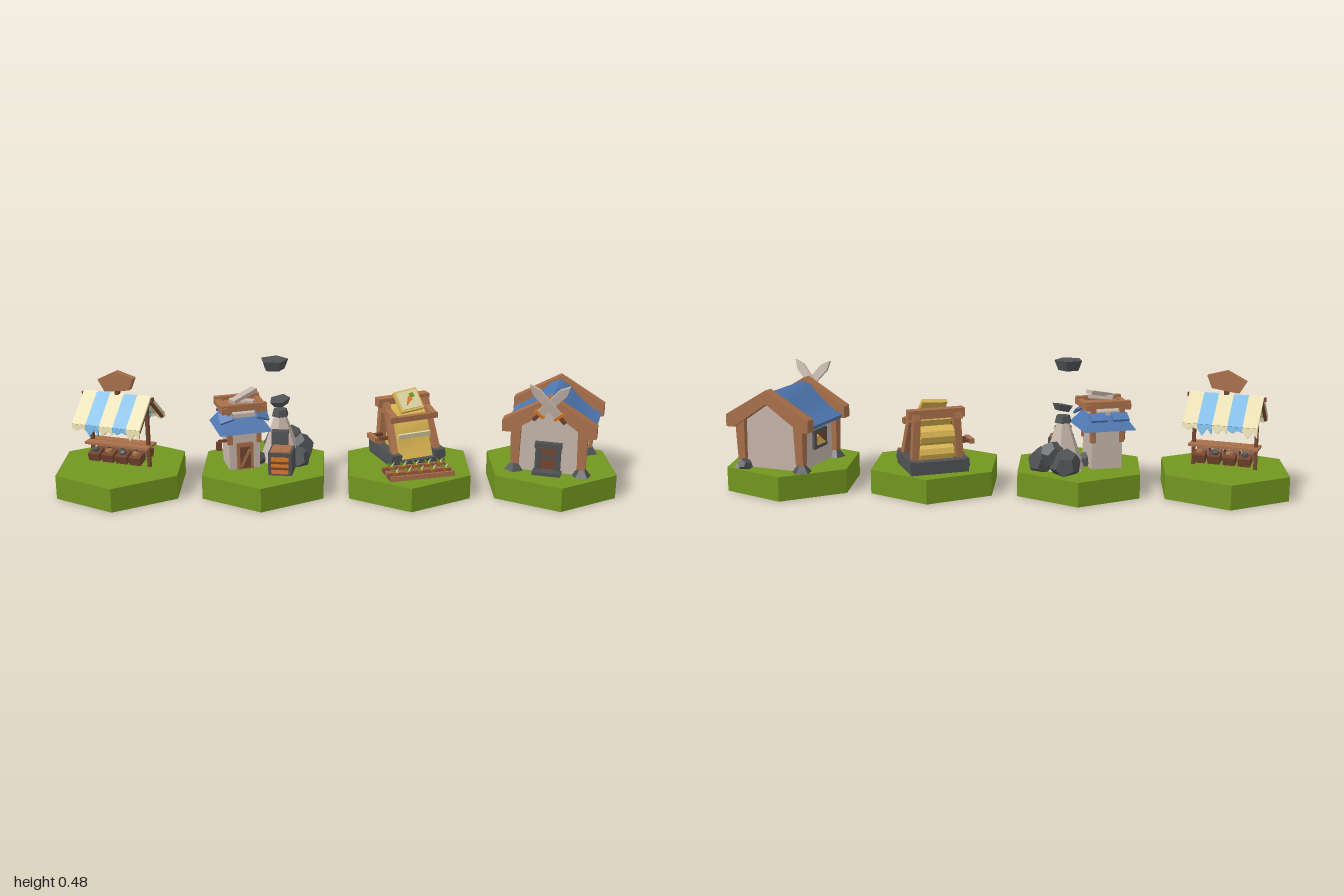
import * as THREE from 'three';
import { toCreasedNormals } from 'three/addons/utils/BufferGeometryUtils.js';

const mat = (name, color) => {
  const m = new THREE.MeshStandardMaterial({ color });
  m.name = name;
  return m;
};

export function createModel() {
  const M = {
    grass: mat('grass green', 0x72961f), wood: mat('wood', 0xa9704a), dark: mat('dark wood', 0x74452f),
    blue: mat('roof blue', 0x4f78b2), wall: mat('plaster', 0xc5b5aa), stone: mat('stone', 0x4f5153),
    cream: mat('cream cloth', 0xddd3a4), sky: mat('sky blue cloth', 0x68aedb),
    straw: mat('straw yellow', 0xdab552), orange: mat('orange', 0xdd7a22),
  };
  const root = new THREE.Group();
  root.name = 'villageTiles';

  // Helpers
  const add = (p, name, geo, m, pos = [0, 0, 0], rot = [0, 0, 0]) => {
    const mesh = new THREE.Mesh(toCreasedNormals(geo, 0.6), m);
    mesh.name = name;
    mesh.position.set(...pos);
    mesh.rotation.set(...rot);
    p.add(mesh);
    return mesh;
  };
  const box = (p, name, m, size, pos, rot) => add(p, name, new THREE.BoxGeometry(...size), m, pos, rot);
  const beam = (p, name, m, a, b, w, d = w) => {
    const A = new THREE.Vector3(...a), B = new THREE.Vector3(...b), dir = B.clone().sub(A);
    const mesh = box(p, name, m, [w, dir.length(), d], A.clone().add(B).multiplyScalar(0.5).toArray());
    mesh.quaternion.setFromUnitVectors(new THREE.Vector3(0, 1, 0), dir.normalize());
    return mesh;
  };
  const plate = (pts, depth) => {
    const g = new THREE.ExtrudeGeometry(new THREE.Shape(pts.map(q => new THREE.Vector2(...q))), { depth, bevelEnabled: false });
    return g.translate(0, 0, -depth / 2);
  };
  const rock = (p, name, pos, size, rot = [0.3, 0.5, 0.2], m = M.stone) => {
    add(p, name, new THREE.DodecahedronGeometry(1), m, pos, rot).scale.set(...size);
  };
  const group = (name, x, z, turn) => {
    const g = new THREE.Group();
    g.name = name;
    g.position.set(x, 0, z);
    g.rotation.y = turn;
    root.add(g);
    return g;
  };

  // Hexagonal ground tiles
  const TX = [-0.783, -0.262, 0.262, 0.783];
  for (const x of TX) add(root, 'groundTile', new THREE.CylinderGeometry(0.25, 0.25, 0.088, 6), M.grass, [x, 0.044, 0]);

  // Market stall
  const stall = group('marketStall', -0.783, 0, -0.31);
  beam(stall, 'ridgeBeam', M.dark, [-0.14, 0.345, 0], [0.14, 0.345, 0], 0.014);
  for (const s of [-1, 1]) {
    beam(stall, 'stallPost', M.dark, [s * 0.112, 0.088, 0], [s * 0.112, 0.345, 0], 0.012);
    for (const t of [-1, 1]) beam(stall, 'awningRafter', M.dark, [s * 0.125, 0.34, 0], [s * 0.125, 0.25, t * 0.095], 0.009);
    box(stall, 'counterBoard', M.wood, [0.25, 0.009, 0.035], [0, 0.167, s * 0.02]);
    for (let i = 0; i < 4; i++) {
      const x = -0.081 + i * 0.054;
      box(stall, 'crate', M.dark, [0.044, 0.03, 0.045], [x, 0.128, s * 0.035], [s * 0.25, 0, 0]);
      rock(stall, 'produce', [x, 0.147, s * 0.038], [0.015, 0.011, 0.015], [0, i, 0], i % 2 ? M.wood : M.stone);
    }
    // Striped awning with ragged lower edge
    const side = new THREE.Group();
    side.name = 'awningSide';
    side.rotation.y = s > 0 ? 0 : Math.PI;
    stall.add(side);
    for (let i = 0; i < 5; i++) {
      const m = i % 2 ? M.sky : M.cream, w = 0.0265, x = -0.106 + i * 0.053;
      add(side, 'awningStripe', plate([[-w, 0], [-w, -0.137], [w, -0.137], [w, 0]], 0.008), m, [x, 0.353, 0.002], [-0.82, 0, 0]);
      const drop = 0.022 + 0.008 * ((i * 2) % 3);
      add(side, 'awningValance', plate([[-w, 0.004], [-w, -0.012], [-0.008, -drop], [0.01, -0.012], [w, -drop + 0.004], [w, 0.004]], 0.006), m, [x, 0.26, 0.101], [-0.25, 0, 0]);
    }
  }
  add(stall, 'roofSign', plate([[-0.07, 0.405], [0, 0.44], [0.07, 0.42], [0.052, 0.375], [-0.045, 0.362]], 0.024), M.wood);
  box(stall, 'signPeg', M.dark, [0.016, 0.05, 0.016], [0, 0.36, 0]);

  // Smithy tower
  const tower = group('smithyTower', -0.345, 0.0, 0.3);
  box(tower, 'towerWalls', M.wall, [0.112, 0.215, 0.112], [0, 0.19, 0]);
  add(tower, 'skirtRoof', new THREE.CylinderGeometry(0.085, 0.135, 0.05, 4), M.blue, [0, 0.258, 0], [0, Math.PI / 4, 0]);
  box(tower, 'door', M.wood, [0.06, 0.1, 0.009], [0, 0.139, 0.059]);
  box(tower, 'doorPanel', M.dark, [0.038, 0.08, 0.008], [0, 0.134, 0.063]);
  beam(tower, 'doorBrace', M.wood, [-0.016, 0.1, 0.068], [0.016, 0.165, 0.068], 0.009, 0.006);
  for (const sx of [-1, 1]) {
    for (const sz of [-1, 1]) box(tower, 'cornerPost', M.wood, [0.018, 0.13, 0.018], [sx * 0.053, 0.25, sz * 0.053]);
    box(tower, 'sideTimber', M.wood, [0.02, 0.022, 0.145], [sx * 0.072, 0.315, 0]);
    box(tower, 'frontTimber', M.wood, [0.165, 0.024, 0.02], [0, 0.322, sx * 0.056]);
    box(tower, 'roofFlap', M.blue, [0.05, 0.008, 0.05], [sx * 0.065, 0.29, 0.055], [0.5, 0, -sx * 0.4]);
    box(tower, 'roofFlap', M.blue, [0.06, 0.008, 0.04], [-sx * 0.04, 0.28, -0.075], [-0.5, 0, 0]);
  }
  box(tower, 'topDeck', M.wood, [0.14, 0.012, 0.11], [0, 0.314, 0]);
  box(tower, 'loosePlank', M.wall, [0.11, 0.014, 0.03], [0.01, 0.35, 0.01], [0, 0.5, 0.22]);
  box(tower, 'loosePlank', M.wall, [0.09, 0.012, 0.025], [0, 0.335, 0.025], [0, -0.5, 0]);
  beam(tower, 'lampArm', M.dark, [-0.055, 0.2, 0.05], [-0.095, 0.2, 0.05], 0.009);
  box(tower, 'lamp', M.dark, [0.018, 0.03, 0.018], [-0.092, 0.182, 0.05]);

  // Forge with chimney and smoke
  const forge = group('forge', -0.205, -0.04, -0.12);
  add(forge, 'chimneyCone', new THREE.CylinderGeometry(0.02, 0.085, 0.18, 6), M.wall, [0, 0.175, -0.01]);
  add(forge, 'chimneyCap', new THREE.CylinderGeometry(0.026, 0.032, 0.024, 6), M.stone, [0, 0.268, -0.01]);
  [[0.07, 0.12, -0.05, 0.05], [-0.02, 0.12, -0.085, 0.055], [0.075, 0.11, 0.04, 0.04], [0.03, 0.15, -0.07, 0.045], [-0.075, 0.105, 0.045, 0.03]]
    .forEach(([x, y, z, r], i) => rock(forge, 'forgeRock', [x, y, z], [r, r * 1.1, r], [i, i * 0.7, 0.3]));
  box(forge, 'flueBlock', M.stone, [0.06, 0.12, 0.05], [0.01, 0.16, 0.065], [-0.12, 0.1, 0]);
  box(forge, 'furnace', M.stone, [0.085, 0.085, 0.085], [0.025, 0.13, 0.12]);
  box(forge, 'furnaceLid', M.wood, [0.07, 0.008, 0.07], [0.025, 0.174, 0.125]);
  box(forge, 'furnaceMouth', M.orange, [0.062, 0.062, 0.009], [0.025, 0.126, 0.162]);
  for (let i = 0; i < 2; i++) box(forge, 'furnaceGrate', M.dark, [0.068, 0.008, 0.009], [0.025, 0.116 + i * 0.022, 0.165]);
  add(forge, 'smokePuff', new THREE.CylinderGeometry(0.04, 0.028, 0.022, 5), M.stone, [0.0, 0.308, -0.01], [0.1, 0.4, 0.15]);
  add(forge, 'largeSmokePuff', new THREE.CylinderGeometry(0.052, 0.038, 0.036, 5), M.stone, [-0.015, 0.458, 0.02], [0, 0.6, 0]);

  // Farm mill
  const farm = group('farmMill', 0.262, -0.072, 0.4);
  box(farm, 'stoneBase', M.stone, [0.21, 0.022, 0.2], [0, 0.098, 0]);
  for (const s of [-1, 1]) {
    box(farm, 'stoneCurb', M.stone, [0.04, 0.03, 0.2], [s * 0.088, 0.12, 0], [0, 0, s * 0.06]);
    box(farm, 'backPost', M.wood, [0.026, 0.2, 0.03], [s * 0.078, 0.195, -0.055], [0, 0, s * 0.06]);
    beam(farm, 'frontStrut', M.wood, [s * 0.078, 0.3, -0.02], [s * 0.085, 0.1, 0.085], 0.024);
    beam(farm, 'sideRail', M.wood, [s * 0.078, 0.29, -0.08], [s * 0.078, 0.255, 0.055], 0.024);
    beam(farm, 'crank', M.dark, [-0.09, 0.18, s * 0.025], [-0.14, 0.18, s * 0.018], 0.012);
  }
  box(farm, 'backStone', M.stone, [0.19, 0.028, 0.035], [0, 0.12, -0.085]);
  box(farm, 'topBeam', M.wood, [0.205, 0.032, 0.036], [0, 0.296, -0.045]);
  box(farm, 'lowerBeam', M.wood, [0.19, 0.02, 0.02], [0, 0.255, 0.05]);
  box(farm, 'crankBar', M.wood, [0.016, 0.018, 0.07], [-0.138, 0.18, 0]);
  for (const [y, z] of [[0.15, -0.03], [0.215, -0.04]])
    add(farm, 'strawRoll', new THREE.CylinderGeometry(0.034, 0.034, 0.125, 10), M.straw, [0, y, z], [0, 0, Math.PI / 2]);
  add(farm, 'strawChute', plate([[-0.03, 0.29], [0.02, 0.265], [0.052, 0.215], [0.06, 0.165], [0.088, 0.112], [0.05, 0.112], [0.03, 0.165], [0.0, 0.23], [-0.04, 0.27]], 0.125).rotateY(-Math.PI / 2), M.straw);
  box(farm, 'chuteBand', M.cream, [0.128, 0.018, 0.01], [0, 0.19, 0.057], [0.15, 0, 0]);
  // Crop sign
  const sign = new THREE.Group();
  sign.name = 'cropSign';
  sign.position.set(0, 0.305, 0.005);
  sign.rotation.set(-0.75, 0, 0.1);
  farm.add(sign);
  box(sign, 'signFrame', M.straw, [0.094, 0.084, 0.014], [0, 0, 0]);
  box(sign, 'signBoard', M.cream, [0.08, 0.07, 0.006], [0, 0, 0.008]);
  add(sign, 'signCarrot', plate([[-0.02, -0.02], [0.014, -0.002], [0, 0.014]], 0.004), M.orange, [0, 0, 0.013]);
  add(sign, 'signLeaf', plate([[0.008, 0.006], [0.024, 0.008], [0.022, 0.024], [0.006, 0.022]], 0.004), M.grass, [0, 0, 0.013]);

  // Vegetable beds
  const beds = group('vegetableBeds', 0.292, 0.107, 0.26);
  for (const z of [-0.028, 0.028]) {
    box(beds, 'bedSoil', M.dark, [0.235, 0.016, 0.042], [0, 0.094, z]);
    for (const s of [-1, 1]) box(beds, 'bedBoard', M.wood, [0.24, 0.02, 0.007], [0, 0.096, z + s * 0.022]);
    for (let i = 0; i < 5; i++) {
      const x = -0.092 + i * 0.046;
      add(beds, 'carrot', new THREE.ConeGeometry(0.011, 0.02, 5), M.orange, [x, 0.104, z], [Math.PI, 0, 0]);
      for (const s of [-1, 1]) add(beds, 'carrotLeaf', new THREE.ConeGeometry(0.008, 0.026, 4), M.grass, [x + s * 0.007, 0.121, z], [0, 0, -s * 0.6]);
    }
  }

  // House
  const house = group('house', 0.793, -0.023, -0.3);
  add(house, 'houseWalls', plate([[-0.115, 0.088], [0.115, 0.088], [0.115, 0.265], [0, 0.35], [-0.115, 0.265]], 0.24), M.wall);
  for (const s of [-1, 1]) {
    const prof = [[0, 0.368], [0.03, 0.353], [0.07, 0.312], [0.11, 0.278], [0.158, 0.252], [0.152, 0.238], [0.105, 0.262], [0.06, 0.298], [0, 0.345]];
    add(house, 'roofSlope', plate(prof.map(([x, y]) => [s * x, y]), 0.25), M.blue);
    for (const t of [-1, 1]) {
      add(house, 'gableBeam', plate([[0, 0.379], [s * 0.166, 0.282], [s * 0.166, 0.238], [s * 0.135, 0.238], [0, 0.33]], 0.04), M.wood, [0, 0, t * 0.132]);
      add(house, 'cornerPost', new THREE.CylinderGeometry(0.026, 0.02, 0.155, 4, 1, false, Math.PI / 4), M.wood, [s * 0.118, 0.192, t * 0.122]);
      add(house, 'footStone', new THREE.ConeGeometry(0.036, 0.045, 5), M.stone, [s * 0.12, 0.11, t * 0.124], [0, s + t, 0]);
    }
    // Side windows
    box(house, 'windowFrame', M.stone, [0.012, 0.07, 0.09], [s * 0.118, 0.184, 0.01]);
    box(house, 'windowPane', M.dark, [0.008, 0.045, 0.062], [s * 0.122, 0.184, 0.01]);
    add(house, 'windowGlow', plate([[-0.029, -0.021], [0.029, -0.021], [-0.029, 0.021]], 0.006), M.straw, [s * 0.126, 0.184, 0.01], [0, s * Math.PI / 2, 0])
      .scale.x = s > 0 ? -1 : 1;
  }
  house.traverse(o => { // keep the mirrored glow facing outwards
    if (o.name === 'windowGlow' && o.scale.x < 0) { o.scale.x = 1; o.rotation.y -= Math.PI; }
  });
  // Doorway
  for (const s of [-1, 1]) box(house, 'doorJamb', M.stone, [0.018, 0.1, 0.024], [s * 0.036, 0.138, 0.126]);
  box(house, 'doorLintel', M.stone, [0.096, 0.02, 0.028], [0, 0.193, 0.127]);
  box(house, 'doorLeaf', M.dark, [0.056, 0.096, 0.008], [0, 0.137, 0.121]);
  box(house, 'doorBand', M.stone, [0.056, 0.012, 0.008], [0, 0.145, 0.125]);
  box(house, 'doorStep', M.stone, [0.1, 0.014, 0.04], [0, 0.094, 0.145]);
  rock(house, 'cornerRock', [0.1, 0.1, -0.145], [0.03, 0.024, 0.028]);
  // Crossed blades over the door
  for (const s of [-1, 1]) {
    const blade = new THREE.Group();
    blade.name = 'crossedBlade';
    blade.position.set(0, 0.355, 0.172 + s * 0.006);
    blade.rotation.set(0.2, 0, s * 0.72);
    house.add(blade);
    add(blade, 'bladeSteel', plate([[-0.014, -0.05], [0.014, -0.05], [0.016, 0.07], [0, 0.105], [-0.016, 0.07]], 0.01), M.wall);
    box(blade, 'bladeGuard', M.orange, [0.04, 0.01, 0.016], [0, -0.052, 0]);
    box(blade, 'bladeGrip', M.dark, [0.012, 0.03, 0.012], [0, -0.07, 0]);
  }
  return root;
}
